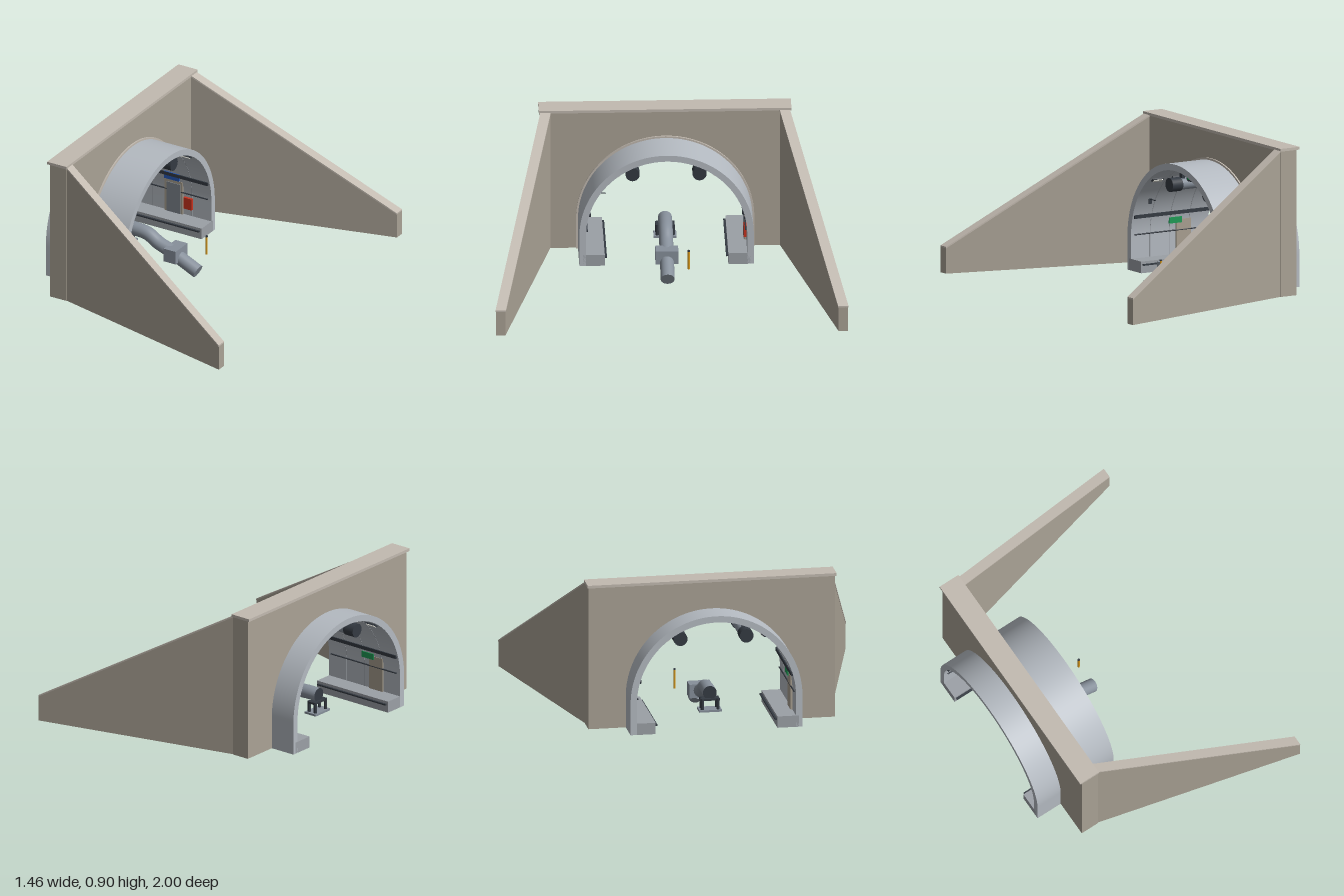
import * as THREE from 'three';
import { toCreasedNormals } from 'three/addons/utils/BufferGeometryUtils.js';

const mat = (color) => new THREE.MeshStandardMaterial({ color, side: THREE.DoubleSide });
const M = {
  concrete: mat(0xaaa295), coping: mat(0xc2bab0), lining: mat(0xb4bac1), kerb: mat(0x9ba0a6),
  steel: mat(0x87909b), dark: mat(0x343a42), door: mat(0x7d858e), panel: mat(0xa89f90),
  red: mat(0xc8321e), blue: mat(0x2458b8), green: mat(0x1f9a55), amber: mat(0xd99a1c), lamp: mat(0xe8e8e0),
};
const BASE = 0.045, SPRING = 0.23, X0 = -0.73, X1 = -0.21, LEN = X1 - X0, XM = (X0 + X1) / 2;

export function createModel() {
  const root = new THREE.Group();

  const add = (name, geo, material, x = 0, y = 0, z = 0) => {
    const m = new THREE.Mesh(geo, material);
    m.name = name;
    m.position.set(x, y, z);
    root.add(m);
    return m;
  };
  const box = (name, material, sx, sy, sz, x, y, z) =>
    add(name, new THREE.BoxGeometry(sx, sy, sz), material, x, y, z);
  const cylX = (name, material, r, len, x, y, z) =>
    add(name, new THREE.CylinderGeometry(r, r, len, 24).rotateZ(Math.PI / 2), material, x, y, z);

  // Extrude a cross-section drawn in the z-y plane along x
  const alongX = (name, shape, material, x0, depth) => {
    let g = new THREE.ExtrudeGeometry(shape, { depth, bevelEnabled: false, curveSegments: 40 });
    g.rotateY(Math.PI / 2);
    g = toCreasedNormals(g, 0.5);
    return add(name, g, material, x0, 0, 0);
  };
  // Horseshoe band between two radii
  const archBand = (ri, ro) => {
    const s = new THREE.Shape();
    s.moveTo(-ro, BASE);
    s.lineTo(-ro, SPRING);
    s.absarc(0, SPRING, ro, Math.PI, 0, true);
    s.lineTo(ro, BASE);
    s.lineTo(ri, BASE);
    s.lineTo(ri, SPRING);
    s.absarc(0, SPRING, ri, 0, Math.PI, false);
    s.lineTo(-ri, BASE);
    s.closePath();
    return s;
  };

  // Portal headwall with arched opening
  const wall = new THREE.Shape();
  wall.moveTo(-0.71, BASE);
  wall.lineTo(-0.71, 0.886);
  wall.lineTo(0.71, 0.886);
  wall.lineTo(0.71, BASE);
  wall.lineTo(0.49, BASE);
  wall.lineTo(0.49, SPRING);
  wall.absarc(0, SPRING, 0.49, 0, Math.PI, false);
  wall.lineTo(-0.49, BASE);
  wall.closePath();
  alongX('headwall', wall, M.concrete, -0.572, 0.11);
  box('headwallCoping', M.coping, 0.128, 0.016, 1.434, -0.523, 0.892, 0);

  // Tunnel lining and portal trim
  alongX('tunnelLining', archBand(0.458, 0.495), M.lining, X0, LEN);
  alongX('portalTrim', archBand(0.49, 0.506), M.coping, -0.465, 0.012);

  // Splayed wing walls: side profile sheared outwards
  const k = 0.293 / 1.185;
  const wing = (name, points, material, side, thick, inset) => {
    const s = new THREE.Shape(points.map((p) => new THREE.Vector2(...p)));
    const g = new THREE.ExtrudeGeometry(s, { depth: thick, bevelEnabled: false });
    const p = g.attributes.position;
    for (let i = 0; i < p.count; i++) {
      const inner = 0.652 - inset + (p.getX(i) + 0.46) * k;
      p.setZ(i, p.getZ(i) + (side > 0 ? inner : -inner - thick));
    }
    g.computeVertexNormals();
    add(name, g, material);
  };

  for (const side of [1, -1]) {
    wing('wingWall', [[-0.464, BASE], [0.725, BASE], [0.725, 0.192], [-0.464, 0.88]], M.concrete, side, 0.055, 0);
    wing('wingCoping', [[-0.462, 0.879], [0.725, 0.191], [0.725, 0.2], [-0.462, 0.889]], M.coping, side, 0.059, 0.002);

    // Raised walkway with kerb rail
    box('walkway', M.kerb, LEN, 0.067, 0.125, XM, BASE + 0.0335, side * 0.413);
    box('kerbRail', M.dark, LEN - 0.02, 0.008, 0.014, XM, 0.093, side * 0.345);

    // Cable tray, handrail and ceiling light strip
    box('cableTray', M.dark, LEN - 0.02, 0.02, 0.014, XM, 0.355, side * 0.437);
    cylX('handrail', M.dark, 0.004, LEN - 0.04, XM, 0.25, side * 0.45);
    for (let i = 0; i < 4; i++) {
      const lamp = box('wallLamp', M.dark, 0.07, 0.012, 0.026, -0.67 + i * 0.133, 0.592, side * 0.276);
      lamp.rotation.x = side * 0.65;
      const lens = box('lampLens', M.lamp, 0.06, 0.004, 0.018, -0.67 + i * 0.133, 0.585, side * 0.271);
      lens.rotation.x = side * 0.65;
    }

    // Ceiling fan with silencer ends and hangers
    const fz = side * 0.19;
    cylX('fanBody', M.steel, 0.034, 0.32, -0.465, 0.57, fz);
    for (const x of [-0.6, -0.33]) {
      cylX('fanSilencer', M.dark, 0.04, 0.07, x, 0.57, fz);
      box('fanHanger', M.dark, 0.02, 0.06, 0.026, x * 0.6 - 0.186, 0.626, fz);
    }

    // Lane signal
    box('signalHousing', M.dark, 0.022, 0.046, 0.044, -0.41, 0.61, side * 0.148);
    for (const dx of [0.012, -0.012])
      box('signalLight', M.green, 0.004, 0.026, 0.024, -0.41 + dx, 0.61, side * 0.148);
    box('signalHanger', M.dark, 0.008, 0.055, 0.008, -0.41, 0.657, side * 0.148);
  }

  // Lining panel joints
  for (let i = 1; i < 4; i++)
    alongX('panelJoint', archBand(0.4565, 0.46), M.kerb, X0 + (i * LEN) / 4, 0.003);

  // Cross-passage door, sign and emergency cabinet on one wall
  box('doorFrame', M.panel, 0.12, 0.205, 0.012, -0.455, 0.212, -0.453);
  box('door', M.door, 0.092, 0.185, 0.012, -0.455, 0.205, -0.449);
  box('doorSign', M.blue, 0.1, 0.044, 0.01, -0.46, 0.345, -0.436);
  box('emergencyCabinet', M.red, 0.055, 0.07, 0.018, -0.36, 0.19, -0.451);

  // Refuge panel and exit sign on the other wall
  box('refugePanel', M.panel, 0.1, 0.2, 0.012, -0.56, 0.212, 0.453);
  box('exitSign', M.green, 0.085, 0.035, 0.01, -0.504, 0.31, 0.447);

  // Wall sensor on a slim arm
  box('sensorArm', M.dark, 0.006, 0.004, 0.055, -0.3, 0.457, 0.37);
  box('sensor', M.dark, 0.02, 0.03, 0.006, -0.3, 0.445, 0.397);

  // Duct: bent pipe, junction box and sloping outlet
  const path = new THREE.CatmullRomCurve3([
    [-0.51, 0.205], [-0.42, 0.205], [-0.35, 0.195], [-0.28, 0.155], [-0.17, 0.118],
  ].map(([x, y]) => new THREE.Vector3(x, y, 0)));
  add('ductBend', new THREE.TubeGeometry(path, 32, 0.04, 24), M.steel);
  const cap = add('ductCap', new THREE.CircleGeometry(0.04, 24), M.dark, -0.51, 0.205, 0);
  cap.rotation.y = -Math.PI / 2;
  box('junctionBox', M.steel, 0.08, 0.08, 0.13, -0.17, 0.125, 0);
  const outlet = cylX('ductOutlet', M.steel, 0.04, 0.15, -0.09, 0.0725, 0);
  outlet.rotation.z = -0.434;

  // Duct stand: base plate with posts
  box('standPlate', M.steel, 0.08, 0.012, 0.13, -0.5, 0.105, 0);
  box('standSaddle', M.dark, 0.05, 0.012, 0.11, -0.5, 0.168, 0);
  for (const dx of [-0.022, 0.022])
    for (const z of [-0.045, 0.045])
      add('standPost', new THREE.CylinderGeometry(0.01, 0.01, 0.07, 12), M.dark, -0.5 + dx, 0.14, z);

  // Marker post
  add('markerPost', new THREE.CylinderGeometry(0.006, 0.006, 0.112, 12), M.amber, -0.037, 0.152, -0.12);
  add('markerCap', new THREE.CylinderGeometry(0.007, 0.007, 0.008, 12), M.dark, -0.037, 0.209, -0.12);

  return root;
}
